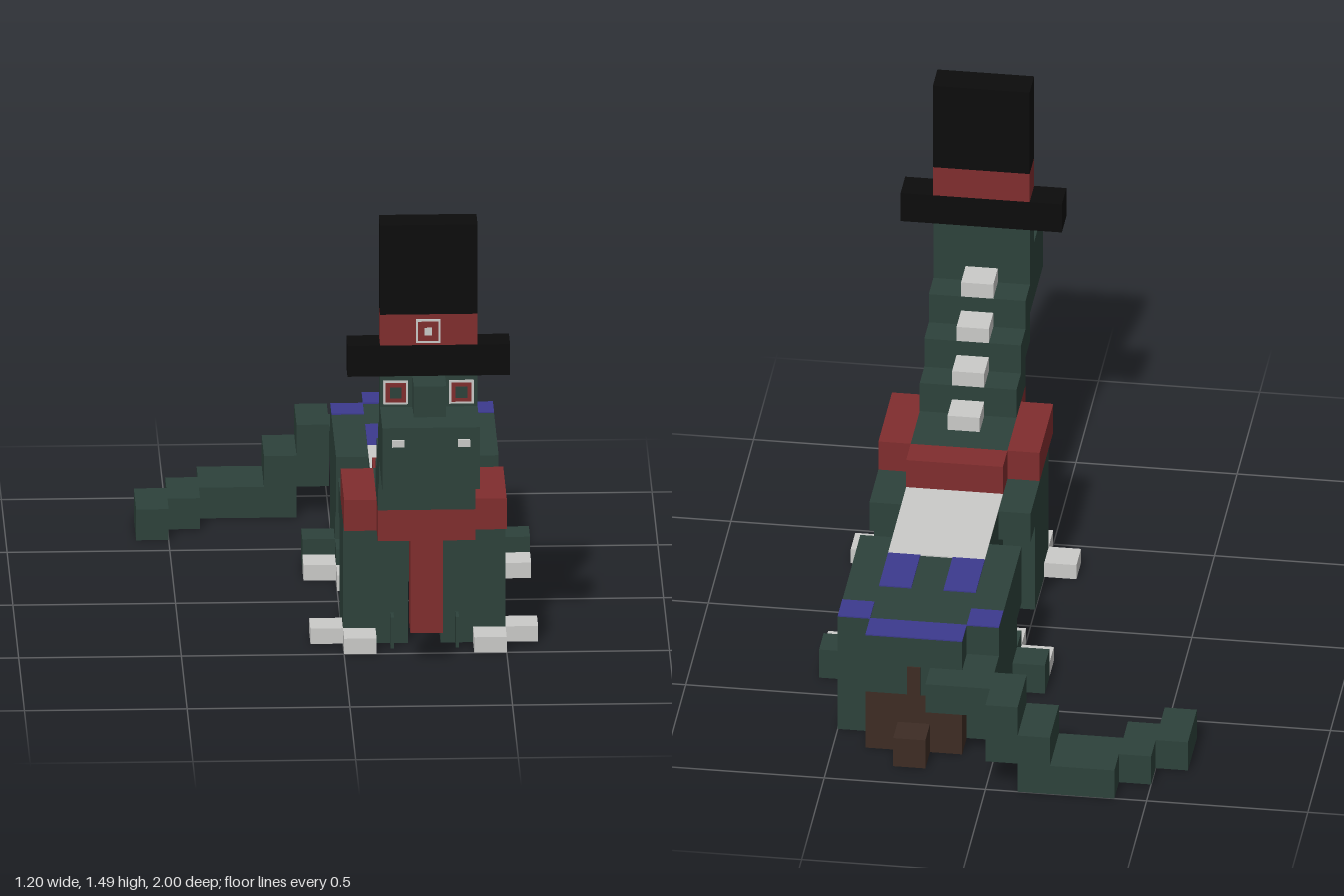
import * as THREE from 'three';

const mat = (name, color) => {
  const m = new THREE.MeshStandardMaterial({ color });
  m.name = name;
  return m;
};

export function createModel() {
  const root = new THREE.Group();
  root.name = 'dinosaurInHat';
  const green = mat('darkGreen', 0x2d423b), red = mat('red', 0x802d2e), black = mat('black', 0x0c0c0c);
  const blue = mat('blue', 0x3c3a8e), pale = mat('paleGrey', 0xcacac8), brown = mat('brown', 0x3d2c24);
  const MID = 0.25; // the body's own centre plane

  // Box given by its extents on each axis
  const box = (name, m, x0, x1, y0, y1, z0, z1) => {
    const mesh = new THREE.Mesh(new THREE.BoxGeometry(x1 - x0, y1 - y0, z1 - z0), m);
    mesh.position.set((x0 + x1) / 2, (y0 + y1) / 2, (z0 + z1) / 2);
    mesh.name = name;
    root.add(mesh);
  };
  // The same box on both sides of the body
  const pair = (name, m, x0, x1, ...rest) => {
    box(name + 'Right', m, x0, x1, ...rest);
    box(name + 'Left', m, 2 * MID - x1, 2 * MID - x0, ...rest);
  };

  // Body
  box('chest', green, 0.1, 0.4, 0.2, 0.4, 0.1, 0.4);
  box('belly', green, 0.1, 0.4, 0.2, 0.4, -0.3, 0.1);
  box('hindBody', green, 0.1, 0.4, 0.005, 0.4, -0.7, -0.3);
  box('rump', green, 0.1, 0.4, 0.2, 0.4, -0.8, -0.7);
  box('bellyPeg', green, 0.23, 0.27, 0.1, 0.2, -0.175, -0.13);

  // Legs and feet
  pair('frontLeg', green, 0, 0.2, 0, 0.4, 0.1, 0.4);
  pair('shoulder', green, 0, 0.1, 0.3, 0.4, 0, 0.1);
  pair('frontSpur', green, 0.145, 0.155, 0, 0.1, 0.4, 0.45);
  pair('haunch', green, 0, 0.1, 0, 0.4, -0.7, -0.3);
  pair('haunchFront', green, 0, 0.1, 0.2, 0.4, -0.3, -0.2);
  pair('hindFoot', green, 0, 0.1, 0, 0.1, -0.3, -0.2);
  pair('hindSideToe', green, -0.1, 0, 0, 0.1, -0.4, -0.3);
  for (const [n, z] of [['front', 0.3], ['hind', -0.3]]) {
    pair(n + 'OuterClaw', pale, -0.1, 0, 0, 0.05, z, z + 0.1);
    pair(n + 'InnerClaw', pale, 0, 0.1, 0, 0.05, z + 0.1, z + 0.2);
  }

  // Back markings
  box('backPatch', pale, 0.1, 0.4, 0.4, 0.404, -0.3, 0.1);
  box('rumpStripe', blue, 0.1, 0.4, 0.4, 0.404, -0.8, -0.7);
  pair('hipSpot', blue, 0, 0.1, 0.4, 0.404, -0.7, -0.6);
  pair('backStripe', blue, 0.1, 0.2, 0.4, 0.404, -0.5, -0.3);

  // Brown underside and pile behind
  box('underside', brown, 0.1, 0.4, 0, 0.005, -0.7, -0.3);
  box('brownBase', brown, 0.1, 0.4, 0, 0.2, -0.8, -0.7);
  box('brownStep', brown, 0.2, 0.3, 0, 0.1, -0.9, -0.8);
  box('rumpMark', brown, 0.23, 0.27, 0.2, 0.3, -0.804, -0.8);

  // Tail, stepping down and curling forward
  [
    [0, 0.2, 0.2, 0.3, -0.9, -0.7],
    [-0.1, 0, 0.1, 0.3, -1, -0.8],
    [-0.2, -0.1, 0, 0.2, -1, -0.8],
    [-0.4, -0.2, 0, 0.1, -1, -0.8],
    [-0.5, -0.4, 0, 0.1, -0.9, -0.7],
    [-0.6, -0.5, 0, 0.1, -0.8, -0.6],
  ].forEach((b, i) => box('tail' + (i + 1), green, ...b));

  // Neck and head
  [
    [0.4, 0.5, 0.2, 0.5],
    [0.5, 0.6, 0.4, 0.6],
    [0.6, 0.7, 0.5, 0.7],
  ].forEach((b, i) => box('neck' + (i + 1), green, 0.1, 0.4, ...b));
  box('jaw', green, 0.1, 0.4, 0.7, 0.8, 0.6, 0.99);
  box('snout', green, 0.1, 0.4, 0.8, 0.9, 0.7, 0.99);
  box('forehead', green, 0.1, 0.4, 0.9, 1, 0.7, 0.79);
  box('browRidge', green, 0.2, 0.3, 0.9, 1, 0.79, 0.89);
  pair('nostril', pale, 0.13, 0.168, 0.84, 0.862, 0.99, 1);
  for (let i = 0; i < 4; i++) {
    const y = 0.5 + i * 0.1, z = 0.3 + i * 0.1;
    box('neckPlate' + (i + 1), pale, 0.2, 0.3, y, y + 0.05, z, z + 0.1);
  }

  // Square rings stacked on a front face: frame, red field, centre
  const badge = (name, x, y, z, centre, c) => {
    [[0.038, pale], [0.031, red], [c, centre]].forEach(([h, m], i) =>
      box(name + ['Frame', 'Field', 'Centre'][i], m, x - h, x + h, y - h, y + h, z, z + 0.004 + i * 0.002));
  };
  badge('rightEye', 0.148, 0.948, 0.79, green, 0.018);
  badge('leftEye', 0.35, 0.948, 0.79, green, 0.018);

  // Scarf
  pair('scarfSide', red, 0, 0.1, 0.4, 0.5, 0.2, 0.5);
  box('scarfBack', red, 0.1, 0.4, 0.4, 0.5, 0.1, 0.2);
  box('scarfFront', red, 0.1, 0.4, 0.4, 0.5, 0.5, 0.6);
  box('scarfEnd', red, 0.2, 0.3, 0.1, 0.4, 0.5, 0.6);

  // Top hat
  box('hatBrim', black, 0, 0.5, 1, 1.1, 0.69, 0.79);
  box('hatBand', red, 0.1, 0.4, 1.1, 1.2, 0.69, 0.79);
  box('hatCrown', black, 0.1, 0.4, 1.2, 1.49, 0.69, 0.79);
  badge('hatBuckle', 0.248, 1.147, 0.792, pale, 0.012);

  return root;
}
